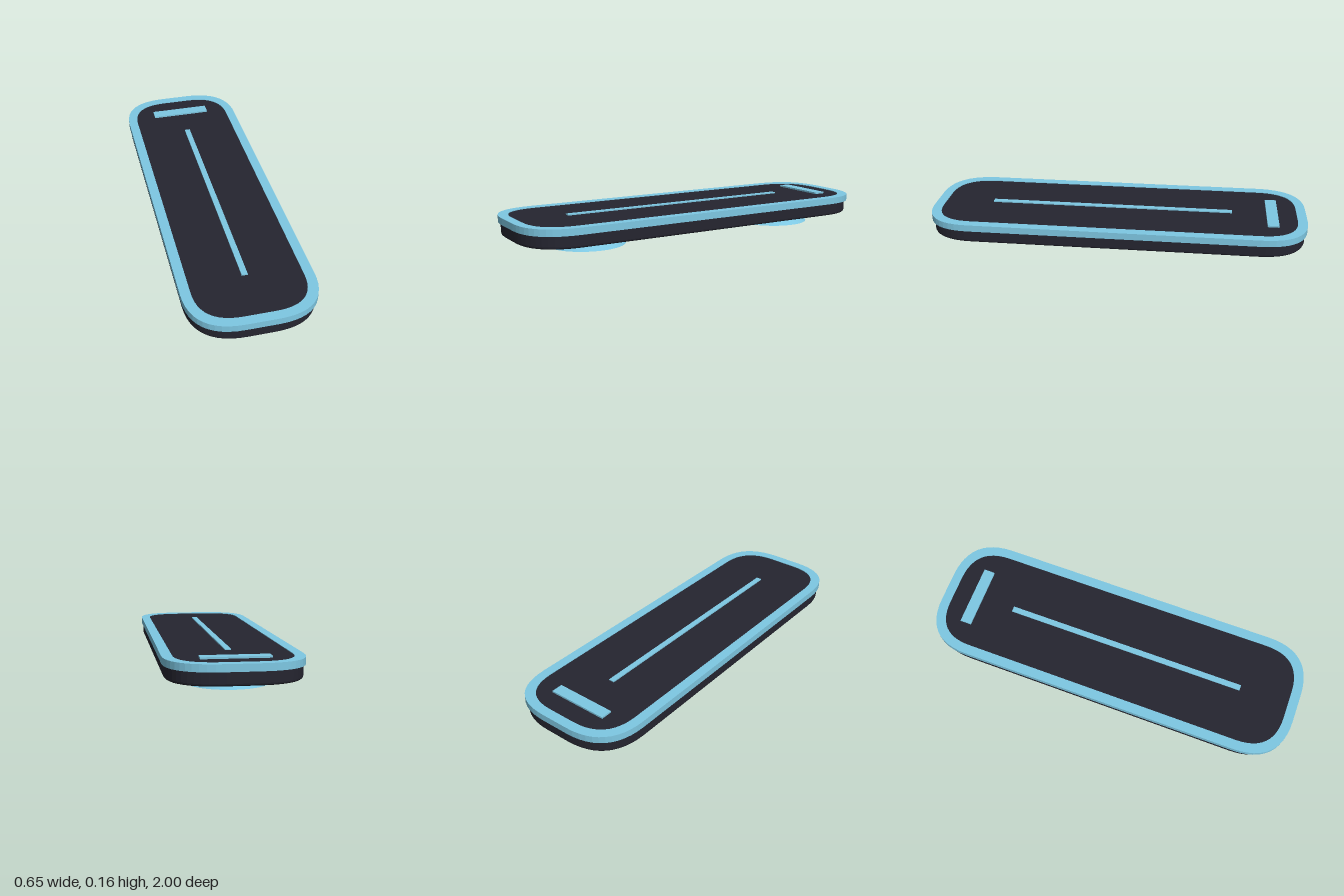
import * as THREE from 'three';

// Rounded rectangle with quadratic corners; w and l are half sizes
function outline(w, l, r, Type = THREE.Shape) {
  const s = new Type();
  s.moveTo(-w + r, -l);
  s.lineTo(w - r, -l);
  s.quadraticCurveTo(w, -l, w, -l + r);
  s.lineTo(w, l - r);
  s.quadraticCurveTo(w, l, w - r, l);
  s.lineTo(-w + r, l);
  s.quadraticCurveTo(-w, l, -w, l - r);
  s.lineTo(-w, -l + r);
  s.quadraticCurveTo(-w, -l, -w + r, -l);
  return s;
}

export function createModel() {
  const model = new THREE.Group();
  model.name = 'hoverDeck';

  const blue = new THREE.MeshStandardMaterial({ color: 0x7ec8e3 });
  blue.name = 'lightBlue';
  const dark = new THREE.MeshStandardMaterial({ color: 0x252530 });
  dark.name = 'charcoal';

  const add = (name, geometry, material, x, y, z) => {
    const mesh = new THREE.Mesh(geometry, material);
    mesh.name = name;
    mesh.position.set(x, y, z);
    model.add(mesh);
  };

  // Lying slab, extruded upwards
  const slab = (shape, options) =>
    new THREE.ExtrudeGeometry(shape, { curveSegments: 12, ...options }).rotateX(-Math.PI / 2);

  // Dark board with softened edges
  const bevel = 0.012;
  add('board', slab(outline(0.318 - bevel, 0.99 - bevel, 0.24), {
    depth: 0.097 - 2 * bevel, bevelEnabled: true,
    bevelThickness: bevel, bevelSize: bevel, bevelSegments: 3,
  }), dark, 0, 0.055 + bevel, 0);

  // Rim around the top edge
  const ring = outline(0.326, 1, 0.25);
  ring.holes.push(outline(0.276, 0.95, 0.2, THREE.Path));
  add('rim', slab(ring, { depth: 0.035, bevelEnabled: false }), blue, 0, 0.12, 0);

  // Raised markings on the deck
  add('centreStripe', new THREE.BoxGeometry(0.03, 0.009, 1.3), blue, 0, 0.1535, 0.04);
  add('tailBar', new THREE.BoxGeometry(0.326, 0.013, 0.06), blue, 0, 0.1545, -0.82);

  // Flared pads floating just under the board
  for (const [name, z] of [['frontPad', 0.59], ['rearPad', -0.59]]) {
    add(name, new THREE.CylinderGeometry(0.164, 0.205, 0.048, 48), blue, 0, 0.024, z);
  }

  return model;
}
